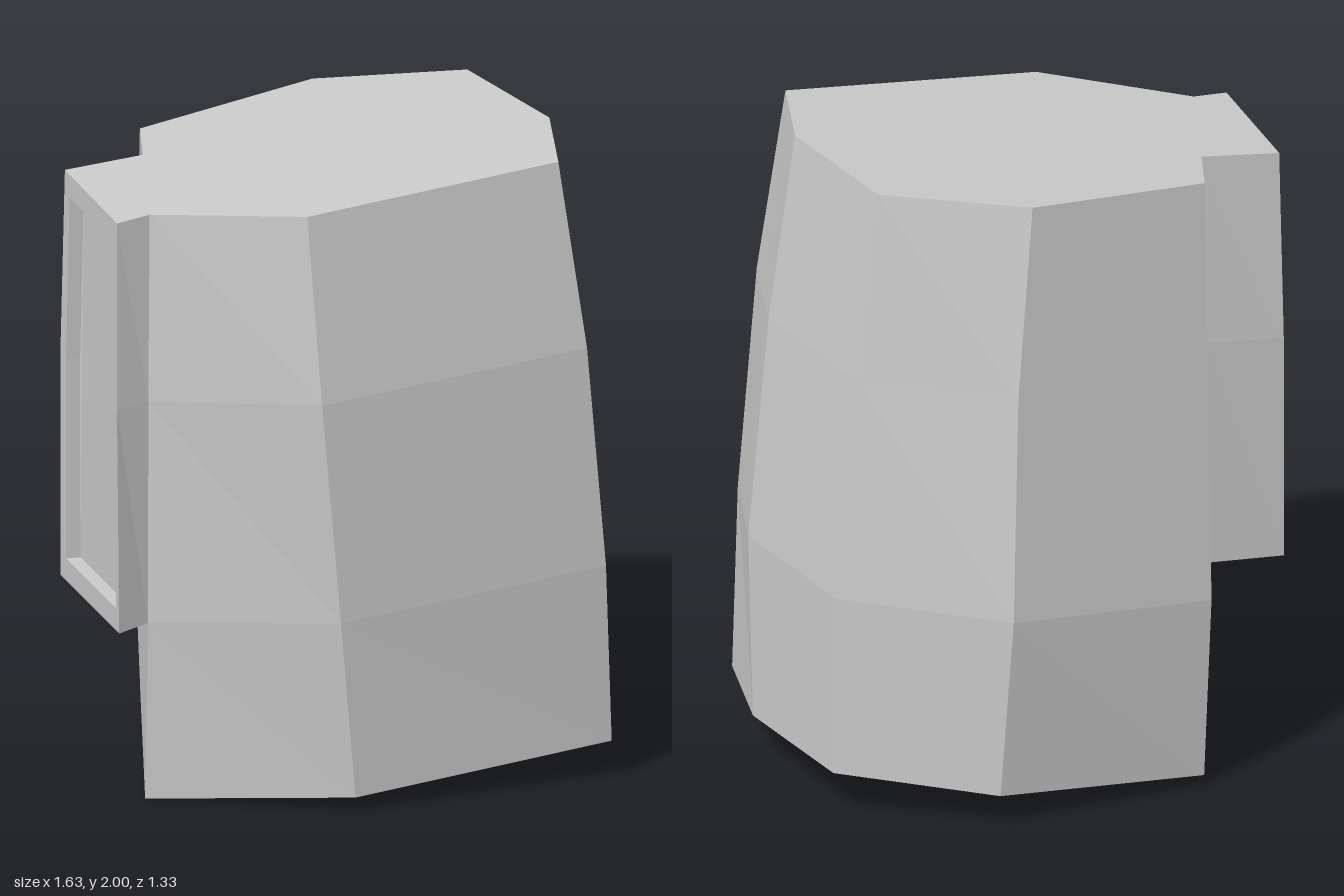
import * as THREE from 'three';

const material = new THREE.MeshStandardMaterial({ color: 0xcccccc, flatShading: true });

// Every level is a slice tilted up towards +x.
const level = (height, points) =>
  points.map(([x, z]) => new THREE.Vector3(x, height + 0.087 * x, z));
const mix = (a, b, t) => a.clone().lerp(b, t);

// Skin a stack of rings; optionally close the loop and cap either end.
function loft(name, rings, { closed = true, start = false, end = false } = {}) {
  const corners = [];
  const n = rings[0].length;
  for (let k = 0; k < rings.length - 1; k++) {
    const a = rings[k], b = rings[k + 1];
    for (let i = 0; i < (closed ? n : n - 1); i++) {
      const j = (i + 1) % n;
      corners.push(a[i], a[j], b[i], a[j], b[j], b[i]);
    }
  }
  const first = rings[0], last = rings[rings.length - 1];
  for (let i = 1; i < n - 1; i++) {
    if (start) corners.push(first[0], first[i + 1], first[i]);
    if (end) corners.push(last[0], last[i], last[i + 1]);
  }
  const geometry = new THREE.BufferGeometry().setFromPoints(corners);
  geometry.computeVertexNormals();
  const mesh = new THREE.Mesh(geometry, material);
  mesh.name = name;
  return mesh;
}

export function createModel() {
  const group = new THREE.Group();
  group.name = 'taperedBlock';
  const heights = [0.06, 0.636, 1.347, 1.943];

  // Seven-sided body, bulging in the middle
  const body = [
    [[-0.69, 0.17], [-0.18, 0.58], [0.67, 0.635], [0.815, 0.22], [0.815, -0.31], [0.41, -0.635], [-0.29, -0.635]],
    [[-0.70, 0.21], [-0.24, 0.60], [0.635, 0.665], [0.81, 0.26], [0.81, -0.32], [0.38, -0.665], [-0.31, -0.645]],
    [[-0.705, 0.22], [-0.305, 0.60], [0.57, 0.665], [0.74, 0.26], [0.74, -0.325], [0.33, -0.60], [-0.34, -0.565]],
    [[-0.70, 0.22], [-0.33, 0.55], [0.50, 0.61], [0.66, 0.24], [0.66, -0.305], [0.25, -0.54], [-0.37, -0.485]],
  ].map((points, k) => level(heights[k], points));
  group.add(loft('body', body, { start: true, end: true }));

  // Side box: outer front, inner front, inner back, outer back
  const box = [
    [[-0.815, 0.24], [-0.70, 0.21], [-0.45, -0.34], [-0.715, -0.345]],
    [[-0.82, 0.235], [-0.705, 0.22], [-0.46, -0.315], [-0.72, -0.335]],
    [[-0.815, 0.225], [-0.70, 0.22], [-0.47, -0.27], [-0.72, -0.305]],
  ].map((points, k) => level(heights[k + 1], points));
  group.add(loft('sideBox', box, { closed: false, start: true, end: true }));

  // Outer face of the box: rim, opening and sunken panel
  const [low, mid, top] = box.map((ring) => (u) => mix(ring[3], ring[0], u));
  const loop = (u0, u1, v0, v1) => [
    mix(low(u0), mid(u0), v0), mix(low(u1), mid(u1), v0), mid(u1),
    mix(top(u1), mid(u1), v1), mix(top(u0), mid(u0), v1), mid(u0),
  ];
  const rim = loop(0, 1, 0, 0);
  const opening = loop(0.1, 0.95, 0.1, 0.12);
  const inward = new THREE.Vector3(0.985, 0, 0.175).multiplyScalar(0.045);
  const sunken = opening.map((p) => p.clone().add(inward));
  group.add(loft('frame', [rim, opening]));
  group.add(loft('recessedPanel', [opening, sunken], { end: true }));

  return group;
}
